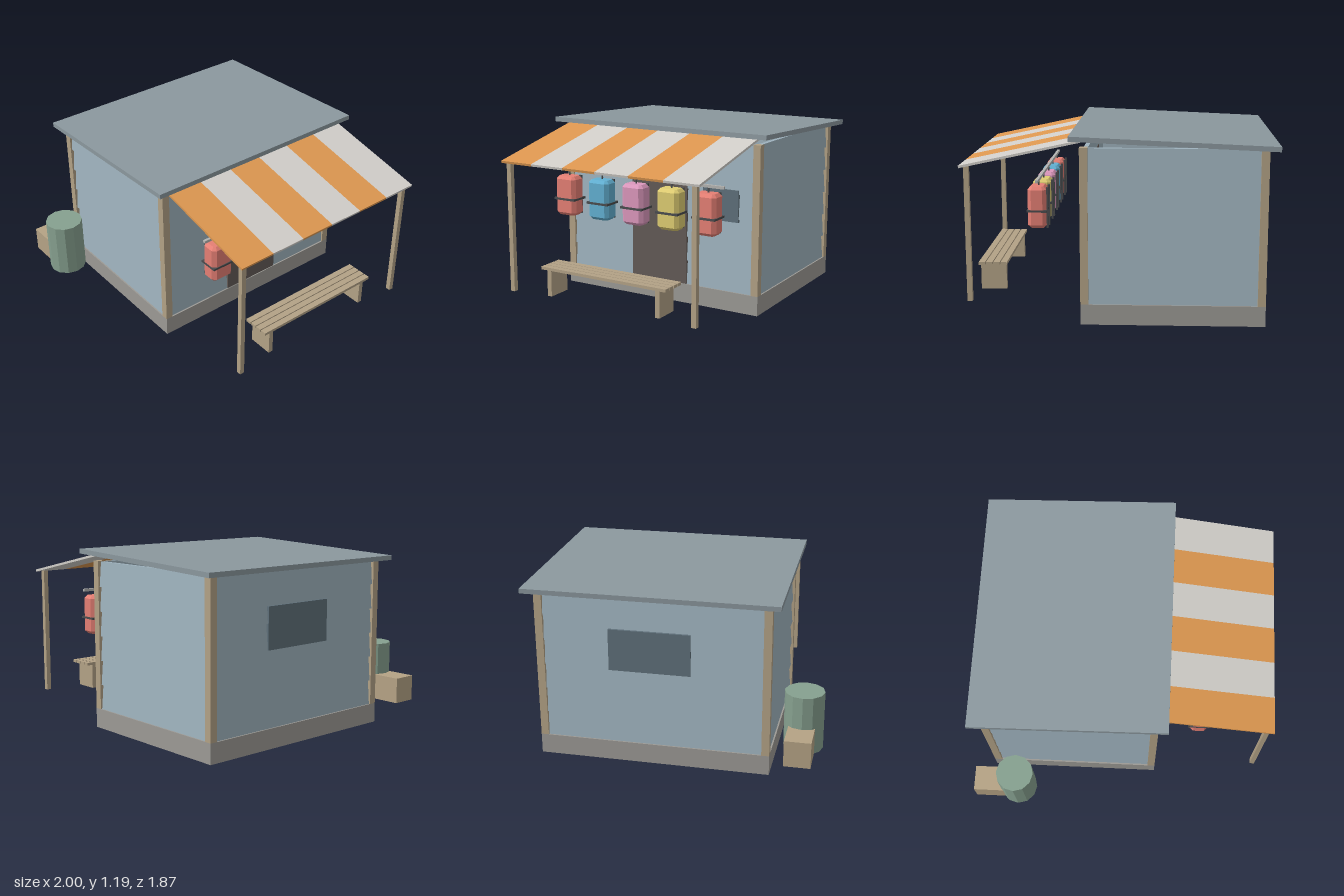
import * as THREE from 'three';

const mat = (color) => new THREE.MeshStandardMaterial({ color, flatShading: true });
const WOOD = mat(0xb3a286), STONE = mat(0x9c9a95), SIDING = mat(0x9eb2bd), ROOF = mat(0x8b989e);
const DOOR = mat(0x635b57), GLASS = mat(0x5f707a), DARK = mat(0x4a4c4e), METAL = mat(0xb4b4b2);
const ORANGE = mat(0xdd9750), CREAM = mat(0xd2cfca), GREEN = mat(0x86a08f), CRATE = mat(0xb5a385);

export function createModel() {
  const model = new THREE.Group();

  const add = (name, geometry, material, parent = model) => {
    const mesh = new THREE.Mesh(geometry, material);
    mesh.name = name;
    parent.add(mesh);
    return mesh;
  };
  // Box given by its limits on each axis
  const box = (name, material, x0, x1, y0, y1, z0, z1, parent = model) => {
    const mesh = add(name, new THREE.BoxGeometry(x1 - x0, y1 - y0, z1 - z0), material, parent);
    mesh.position.set((x0 + x1) / 2, (y0 + y1) / 2, (z0 + z1) / 2);
    return mesh;
  };
  // Slab sloping in x, with its top edge running from (x0, y0) to (x1, y1)
  const slopedSlab = (name, material, x0, y0, x1, y1, thick, z0, z1) => {
    const angle = Math.atan2(y1 - y0, x1 - x0);
    const geometry = new THREE.BoxGeometry(Math.hypot(x1 - x0, y1 - y0), thick, z1 - z0);
    geometry.translate(0, -thick / 2, 0);
    const mesh = add(name, geometry, material);
    mesh.rotation.z = angle;
    mesh.position.set((x0 + x1) / 2, (y0 + y1) / 2, (z0 + z1) / 2);
  };

  // Plinth and corner posts
  const X0 = -0.895, X1 = 0.255, Z0 = -0.87, Z1 = 0.62, FLOOR = 0.13, TOP = 1.115;
  box('foundation', STONE, X0, X1, 0, FLOOR, Z0, Z1);
  for (const x of [X0, X1 - 0.05])
    for (const z of [Z0, Z1 - 0.05]) box('cornerPost', WOOD, x, x + 0.05, FLOOR, TOP, z, z + 0.05);

  // Walls: one lapped-board profile, extruded along each side
  const boards = 6, boardHeight = (1.11 - FLOOR) / boards;
  const profile = new THREE.Shape();
  profile.moveTo(-0.025, FLOOR);
  for (let i = 0; i < boards; i++) {
    profile.lineTo(0.016, FLOOR + i * boardHeight);
    profile.lineTo(0.002, FLOOR + (i + 1) * boardHeight);
  }
  profile.lineTo(-0.025, 1.11);
  const cx = (X0 + X1) / 2, cz = (Z0 + Z1) / 2;
  for (let i = 0; i < 4; i++) {
    const alongZ = i % 2 === 0;
    const length = (alongZ ? Z1 - Z0 : X1 - X0) - 0.06;
    const reach = (alongZ ? X1 - X0 : Z1 - Z0) / 2 - 0.026;
    const geometry = new THREE.ExtrudeGeometry(profile, { depth: length, bevelEnabled: false });
    geometry.translate(reach, 0, -length / 2);
    const wall = add('boardWall', geometry, SIDING);
    wall.rotation.y = i * Math.PI / 2;
    wall.position.set(cx, 0, cz);
  }

  // Openings
  box('door', DOOR, 0.2, 0.25, FLOOR, 1.0, -0.34, 0.085);
  box('sideWindow', GLASS, 0.2, 0.252, 0.6, 0.81, -0.72, -0.46);
  box('backWindow', GLASS, -0.892, -0.85, 0.62, 0.89, -0.4, 0.12);

  // Roof
  slopedSlab('roof', ROOF, -0.957, 1.137, 0.315, 1.192, 0.031, -0.935, 0.678);

  // Striped awning and its posts
  const stripe = 1.444 / 6;
  for (let i = 0; i < 6; i++) {
    const z = 0.592 - i * stripe;
    slopedSlab('awningStripe', i % 2 ? CREAM : ORANGE, 0.23, 1.163, 0.998, 0.997, 0.015, z - stripe, z);
  }
  for (const z of [0.538, -0.822]) box('awningPost', WOOD, 0.94, 0.972, FLOOR, 0.99, z, z + 0.032);

  // Bench
  const bench = new THREE.Group();
  bench.name = 'bench';
  model.add(bench);
  for (let i = 0; i < 4; i++) {
    const x = 0.755 + i * 0.0475;
    box('benchSlat', WOOD, x, x + 0.041, 0.303, 0.322, -0.595, 0.34, bench);
  }
  for (const z of [0.265, -0.548]) box('benchLeg', WOOD, 0.765, 0.932, FLOOR, 0.303, z, z + 0.032, bench);

  // Rail with hanging packs
  box('hangingRail', METAL, 0.521, 0.539, 0.876, 0.894, -0.765, 0.508);
  const w = 0.04, d = 0.06, c = 0.012;   // inner half sizes and corner cut
  const outline = new THREE.Shape([
    [-w + c, -d], [w - c, -d], [w, -d + c], [w, d - c],
    [w - c, d], [-w + c, d], [-w, d - c], [-w, -d + c],
  ].map(([x, y]) => new THREE.Vector2(x, y)));
  const packBody = new THREE.ExtrudeGeometry(outline, {
    depth: 0.225, bevelThickness: 0.02, bevelSize: 0.019, bevelSegments: 1,
  });
  packBody.rotateX(-Math.PI / 2);
  const colors = [0xe57f74, 0x62b0d2, 0xdc98bd, 0xdfcd72, 0xe57f74];
  colors.forEach((color, i) => {
    const pack = new THREE.Group();
    pack.name = 'hangingPack';
    pack.position.set(0.535, 0, 0.402 - i * 0.2643);
    model.add(pack);
    add('packBody', packBody, mat(color), pack).position.y = 0.6;
    box('packBand', DARK, -0.063, 0.064, 0.684, 0.698, -0.082, 0.082, pack);
    for (const z of [-0.045, 0.045])
      box('shoulderStrap', DARK, -0.07, -0.058, 0.58, 0.84, z - 0.01, z + 0.01, pack);
    box('hanger', DARK, -0.009, -0.001, 0.835, 0.89, -0.004, 0.004, pack);
  });

  // Barrel and crate by the front wall
  add('barrel', new THREE.CylinderGeometry(0.126, 0.126, 0.38, 12), GREEN).position.set(-0.703, 0.32, 0.808);
  box('crate', CRATE, -1, -0.79, FLOOR, 0.3, 0.72, 0.887);

  return model;
}
